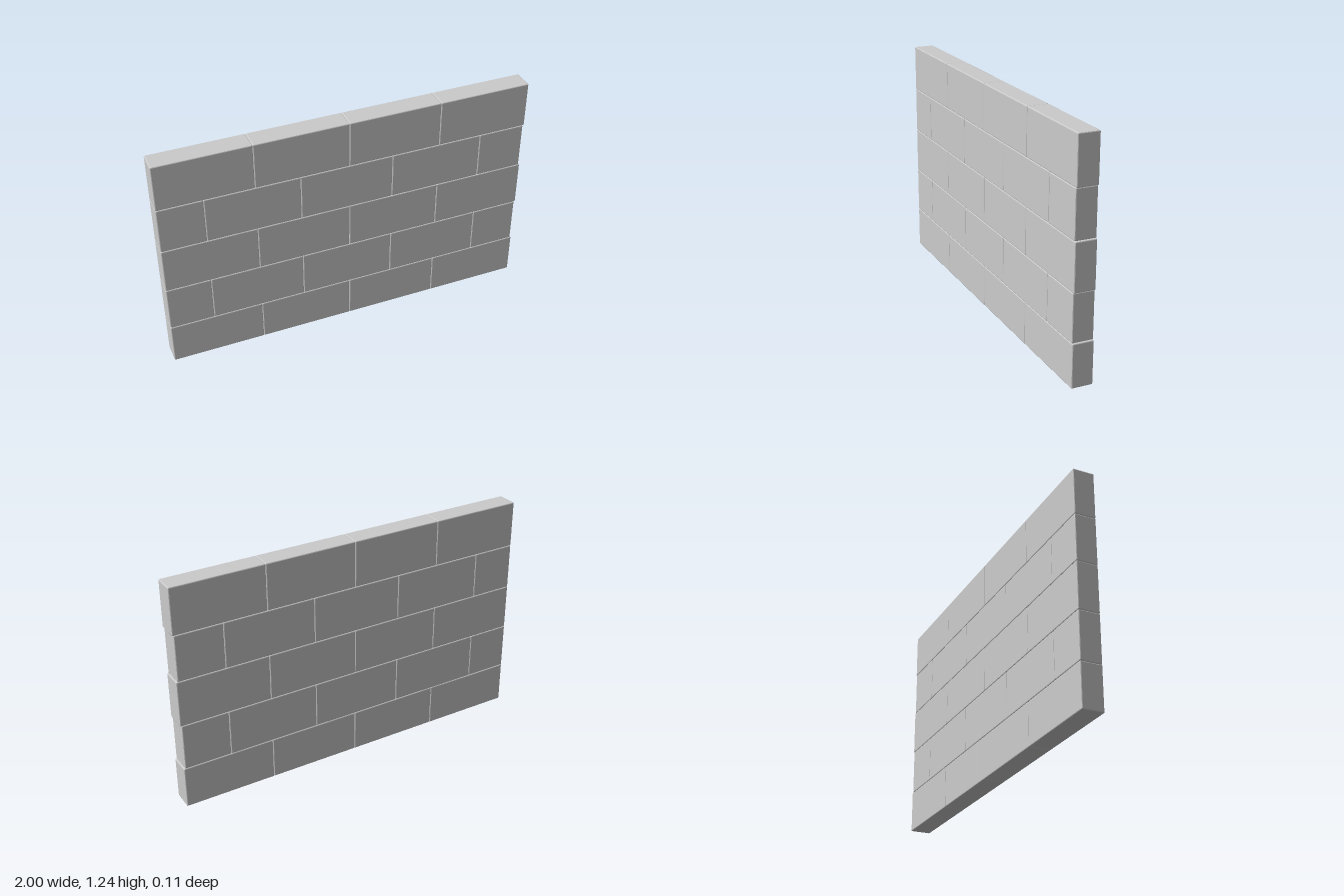
import * as THREE from 'three';
import { RoundedBoxGeometry } from 'three/addons/geometries/RoundedBoxGeometry.js';

const DEPTH = 0.113;
const BEVEL = 0.005;

// Course boundaries from the ground up; the lowest course is slightly shorter
const LEVELS = [0, 0.23, 0.482, 0.733, 0.984, 1.235];
// Vertical joints: whole blocks, and the staggered course with cut ends
const WHOLE = [-1, -0.5, 0, 0.5, 1];
const STAGGERED = [-1, -0.763, -0.263, 0.238, 0.738, 0.993];

export function createModel() {
  const wall = new THREE.Group();
  wall.name = 'blockWall';
  const material = new THREE.MeshStandardMaterial({ color: 0xcccccc, flatShading: true });

  for (let row = 0; row < LEVELS.length - 1; row++) {
    const course = new THREE.Group();
    course.name = `course${row + 1}`;
    const joints = row % 2 ? STAGGERED : WHOLE;
    const height = LEVELS[row + 1] - LEVELS[row];

    // Chamfered blocks meet edge to edge, leaving V-shaped joints
    for (let i = 0; i < joints.length - 1; i++) {
      const width = joints[i + 1] - joints[i];
      const block = new THREE.Mesh(new RoundedBoxGeometry(width, height, DEPTH, 1, BEVEL), material);
      block.name = `block${i + 1}`;
      block.position.set((joints[i] + joints[i + 1]) / 2, LEVELS[row] + height / 2, 0);
      course.add(block);
    }
    wall.add(course);
  }
  return wall;
}
